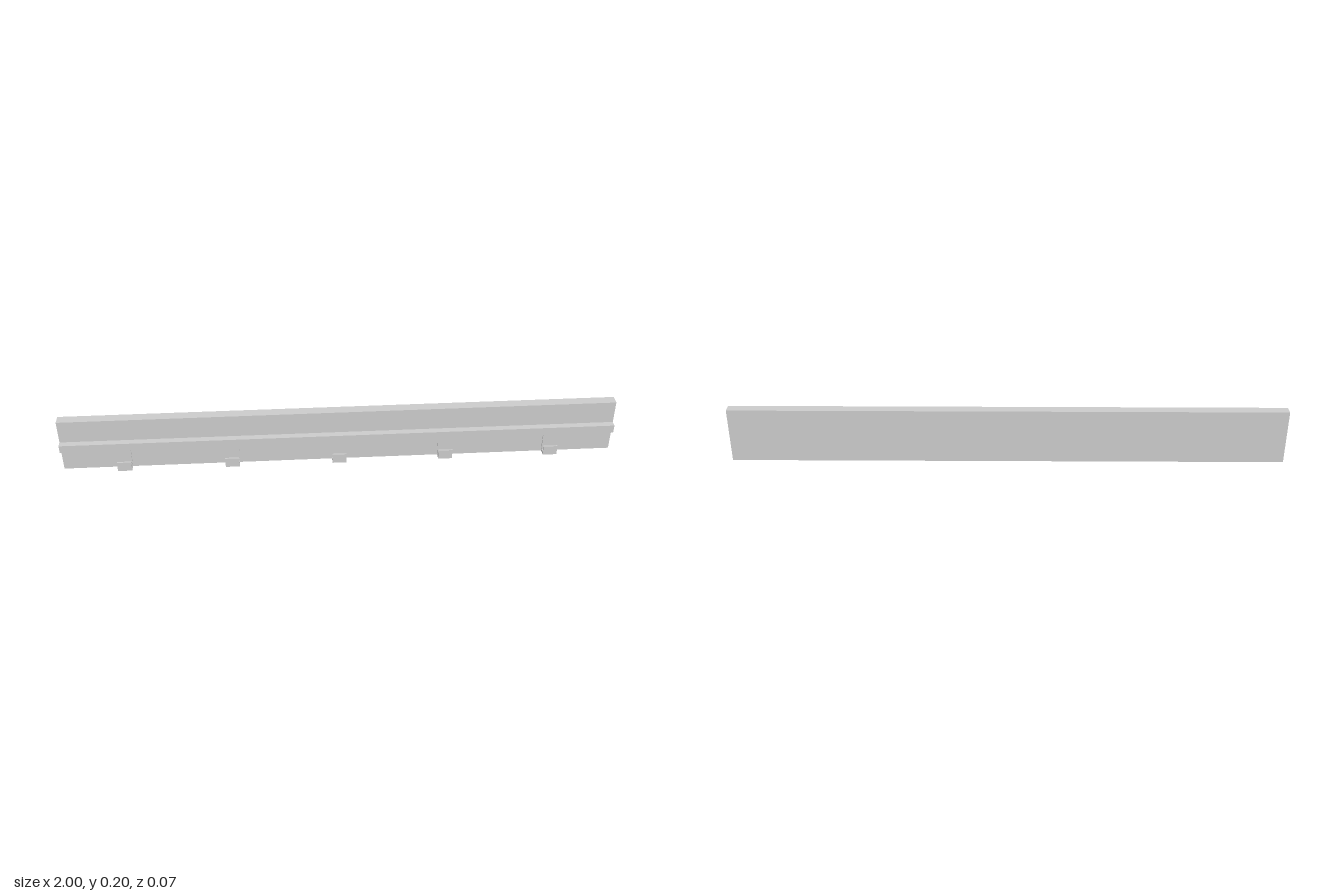
import * as THREE from 'three';

const material = new THREE.MeshStandardMaterial({ color: 0xcccccc, flatShading: true });

// Box given by its lower and upper limits on each axis
function box(name, [x0, x1], [y0, y1], [z0, z1]) {
  const mesh = new THREE.Mesh(new THREE.BoxGeometry(x1 - x0, y1 - y0, z1 - z0), material);
  mesh.position.set((x0 + x1) / 2, (y0 + y1) / 2, (z0 + z1) / 2);
  mesh.name = name;
  return mesh;
}

// J-shaped hook: side profile (z, y) extruded across its width
function hookGeometry(width) {
  const profile = [
    [0.0045, 0.004], [0.034, 0.004], [0.034, 0.041], [0.0285, 0.041],
    [0.0285, 0.011], [0.009, 0.011], [0.009, 0.09], [0.0045, 0.09],
  ].map(([z, y]) => new THREE.Vector2(z, y));
  const geometry = new THREE.ExtrudeGeometry(new THREE.Shape(profile), { depth: width, bevelEnabled: false });
  geometry.translate(0, 0, -width / 2);
  geometry.rotateY(-Math.PI / 2); // profile x becomes +z
  return geometry;
}

export function createModel() {
  const model = new THREE.Group();
  model.name = 'hookRack';

  // Back board and the rail along its front
  model.add(box('backBoard', [-1, 1], [0, 0.204], [-0.034, 0.002]));
  model.add(box('rail', [-1, 1], [0.088, 0.118], [0.002, 0.025]));

  // Five evenly spaced hooks hanging under the rail
  const geometry = hookGeometry(0.051);
  for (let i = -2; i <= 2; i++) {
    const hook = new THREE.Mesh(geometry, material);
    hook.name = 'hook';
    hook.position.x = i * 0.3875 - 0.003;
    model.add(hook);
  }
  return model;
}
